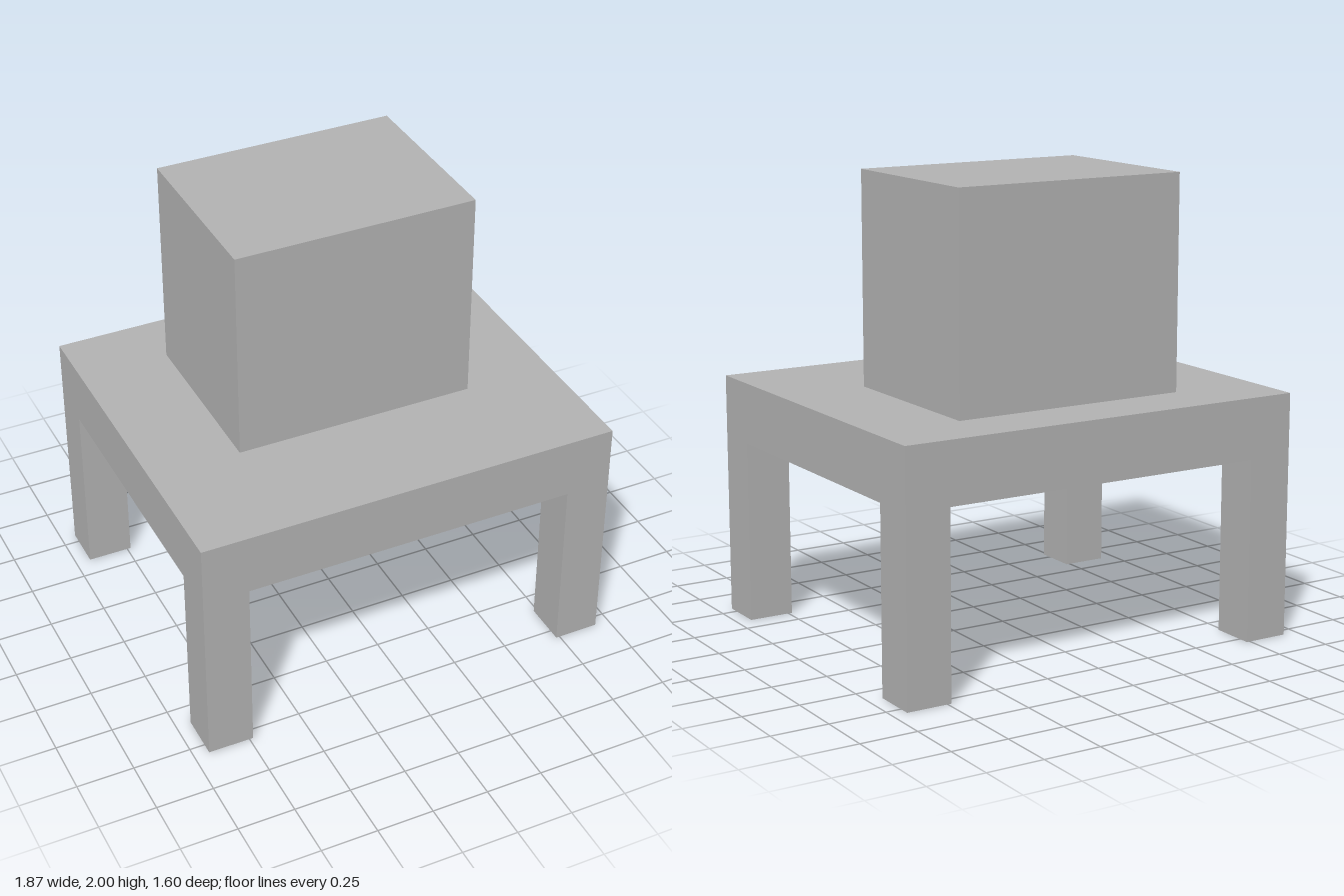
import * as THREE from 'three';

export function createModel() {
  const model = new THREE.Group();
  const grey = new THREE.MeshStandardMaterial({ color: 0xb2b2b2 });
  grey.name = 'plain grey';

  // Box placed by its base centre
  const addBox = (name, w, h, d, x, y, z) => {
    const mesh = new THREE.Mesh(new THREE.BoxGeometry(w, h, d), grey);
    mesh.name = name;
    mesh.position.set(x, y + h / 2, z);
    model.add(mesh);
  };

  const width = 1.867, depth = 1.6, leg = 0.2, legHeight = 0.8, topHeight = 0.267;

  // Thick table top
  addBox('tableTop', width, topHeight, depth, 0, legHeight, 0);

  // Block standing on the top, set towards the back
  addBox('block', 1.067, 2 - legHeight - topHeight, 0.8, 0, legHeight + topHeight, -0.133);

  // Four square legs flush with the corners
  for (const [sx, side] of [[1, 'Left'], [-1, 'Right']]) {
    for (const [sz, end] of [[1, 'front'], [-1, 'back']]) {
      addBox(`${end}${side}Leg`, leg, legHeight, leg,
        sx * (width - leg) / 2, 0, sz * (depth - leg) / 2);
    }
  }
  return model;
}
